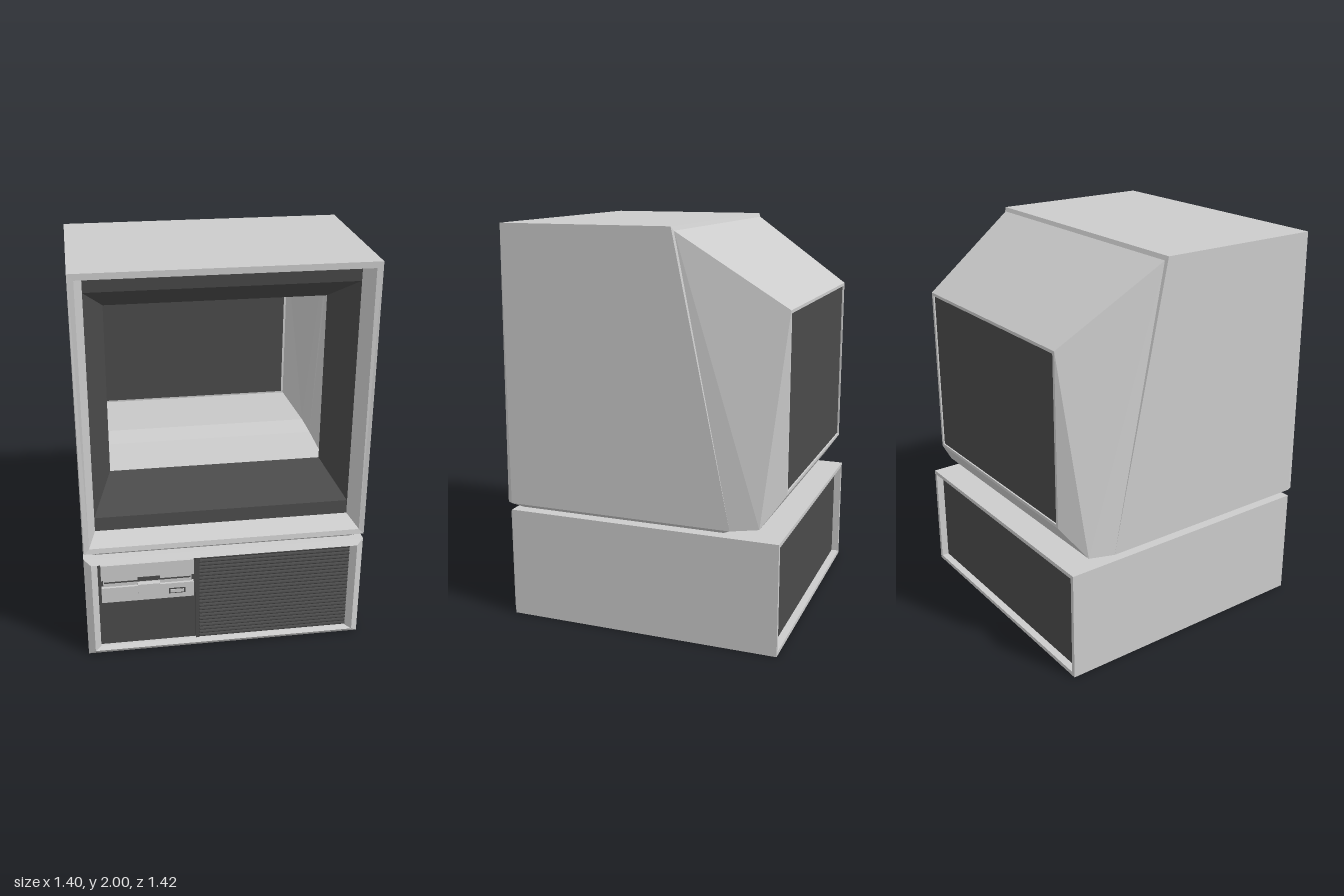
import * as THREE from 'three';

const grey = new THREE.MeshStandardMaterial({ color: 0xcccccc, flatShading: true, side: THREE.DoubleSide });
const dark = new THREE.MeshStandardMaterial({ color: 0x4a4a4a, flatShading: true, side: THREE.DoubleSide });

// Four corners, counter-clockwise from the front; top and bottom may differ in width and depth.
const ring = (x, y0, y1, z0, z1 = z0) => [[-x, y0, z0], [x, y0, z0], [x, y1, z1], [-x, y1, z1]];
// Four corners of a level rectangle, counter-clockwise from above.
const level = (x, z0, z1, y) => [[-x, y, z1], [x, y, z1], [x, y, z0], [-x, y, z0]];

// Skin a series of four-cornered rings with flat quads.
function loft(name, material, rings) {
  const pos = [];
  for (let r = 0; r < rings.length - 1; r++) {
    const p = rings[r], q = rings[r + 1];
    for (let i = 0; i < 4; i++) {
      const j = (i + 1) % 4;
      // The diagonal is mirrored on the right so both sides fold alike.
      const tris = i === 1
        ? [p[i], p[j], q[i], p[j], q[j], q[i]]
        : [p[i], p[j], q[j], p[i], q[j], q[i]];
      tris.forEach(v => pos.push(...v));
    }
  }
  const geo = new THREE.BufferGeometry();
  geo.setAttribute('position', new THREE.Float32BufferAttribute(pos, 3));
  geo.computeVertexNormals();
  return named(name, geo, material);
}

function named(name, geo, material) {
  const mesh = new THREE.Mesh(geo, material);
  mesh.name = name;
  return mesh;
}

// Box given by its extents.
function box(name, material, x0, x1, y0, y1, z0, z1) {
  const mesh = named(name, new THREE.BoxGeometry(x1 - x0, y1 - y0, z1 - z0), material);
  mesh.position.set((x0 + x1) / 2, (y0 + y1) / 2, (z0 + z1) / 2);
  return mesh;
}

function createMonitor() {
  const g = new THREE.Group();
  g.name = 'monitor';
  g.add(
    // Housing: back rim, tapered rear, straight box, front lip, inner frame
    loft('monitorHousing', grey, [
      ring(0.565, 0.78, 1.62, -0.7),
      ring(0.565, 0.78, 1.62, -0.71),
      ring(0.58, 0.765, 1.635, -0.71),
      ring(0.685, 0.62, 1.98, -0.61, -0.19),
      ring(0.7, 0.6, 2, -0.47, -0.18),
      ring(0.7, 0.6, 2, 0.69),
      ring(0.695, 0.605, 1.995, 0.71, 0.69),
      ring(0.67, 0.63, 1.97, 0.705, 0.69),
      ring(0.635, 0.66, 1.94, 0.59),
    ]),
    box('monitorBackPanel', dark, -0.565, 0.565, 0.78, 1.62, -0.702, -0.698),
    // Sloping mask around the open screen
    loft('screenMask', dark, [
      ring(0.635, 0.66, 1.94, 0.59),
      ring(0.635, 0.73, 1.88, 0.585),
      ring(0.54, 0.86, 1.74, 0.35),
    ]),
    // Tapered foot between monitor and base unit
    loft('monitorFoot', grey, [
      level(0.64, -0.42, 0.655, 0.565),
      level(0.7, -0.47, 0.69, 0.6),
    ]),
  );
  return g;
}

function createDrive() {
  const g = new THREE.Group();
  g.name = 'diskDrive';
  g.add(
    box('driveFaceUpper', grey, -0.62, -0.16, 0.435, 0.52, 0.66, 0.695),
    box('driveFaceLower', grey, -0.62, -0.16, 0.305, 0.39, 0.66, 0.695),
    box('driveSlotBack', grey, -0.61, -0.17, 0.39, 0.435, 0.66, 0.682),
    box('driveSlot', dark, -0.605, -0.175, 0.411, 0.417, 0.68, 0.686),
    box('driveFingerNotch', dark, -0.44, -0.33, 0.425, 0.442, 0.68, 0.697),
    box('driveLever', grey, -0.44, -0.33, 0.35, 0.405, 0.68, 0.708),
    box('driveButtonSurround', dark, -0.285, -0.203, 0.332, 0.362, 0.68, 0.697),
    box('driveButton', grey, -0.278, -0.21, 0.338, 0.356, 0.68, 0.7),
  );
  return g;
}

function createVent() {
  const g = new THREE.Group();
  g.name = 'vent';
  const count = 24, y0 = 0.04, pitch = 0.49 / count;
  const slat = new THREE.CylinderGeometry(0.009, 0.009, 0.765, 8).rotateZ(Math.PI / 2);
  for (let i = 0; i < count; i++) {
    const mesh = named('ventSlat', slat, dark);
    mesh.position.set(0.2525, y0 + (i + 0.5) * pitch, 0.681);
    g.add(mesh);
  }
  return g;
}

function createBase() {
  const g = new THREE.Group();
  g.name = 'baseUnit';
  g.add(
    // Case: recessed back, straight sides, chamfered front frame
    loft('baseCase', grey, [
      ring(0.68, 0.02, 0.545, -0.67),
      ring(0.68, 0.02, 0.545, -0.71),
      ring(0.7, 0, 0.565, -0.71),
      ring(0.7, 0, 0.565, 0.69),
      ring(0.665, 0.03, 0.54, 0.715),
      ring(0.635, 0.04, 0.53, 0.69),
      ring(0.635, 0.04, 0.53, 0.67),
    ]),
    box('baseBackPanel', dark, -0.68, 0.68, 0.02, 0.545, -0.672, -0.668),
    box('baseFrontPanel', dark, -0.635, 0.635, 0.04, 0.53, 0.665, 0.675),
    box('ventDivider', dark, -0.15, -0.132, 0.04, 0.53, 0.67, 0.688),
    createDrive(),
    createVent(),
  );
  return g;
}

export function createModel() {
  const model = new THREE.Group();
  model.name = 'desktopComputer';
  model.add(createBase(), createMonitor());
  return model;
}
